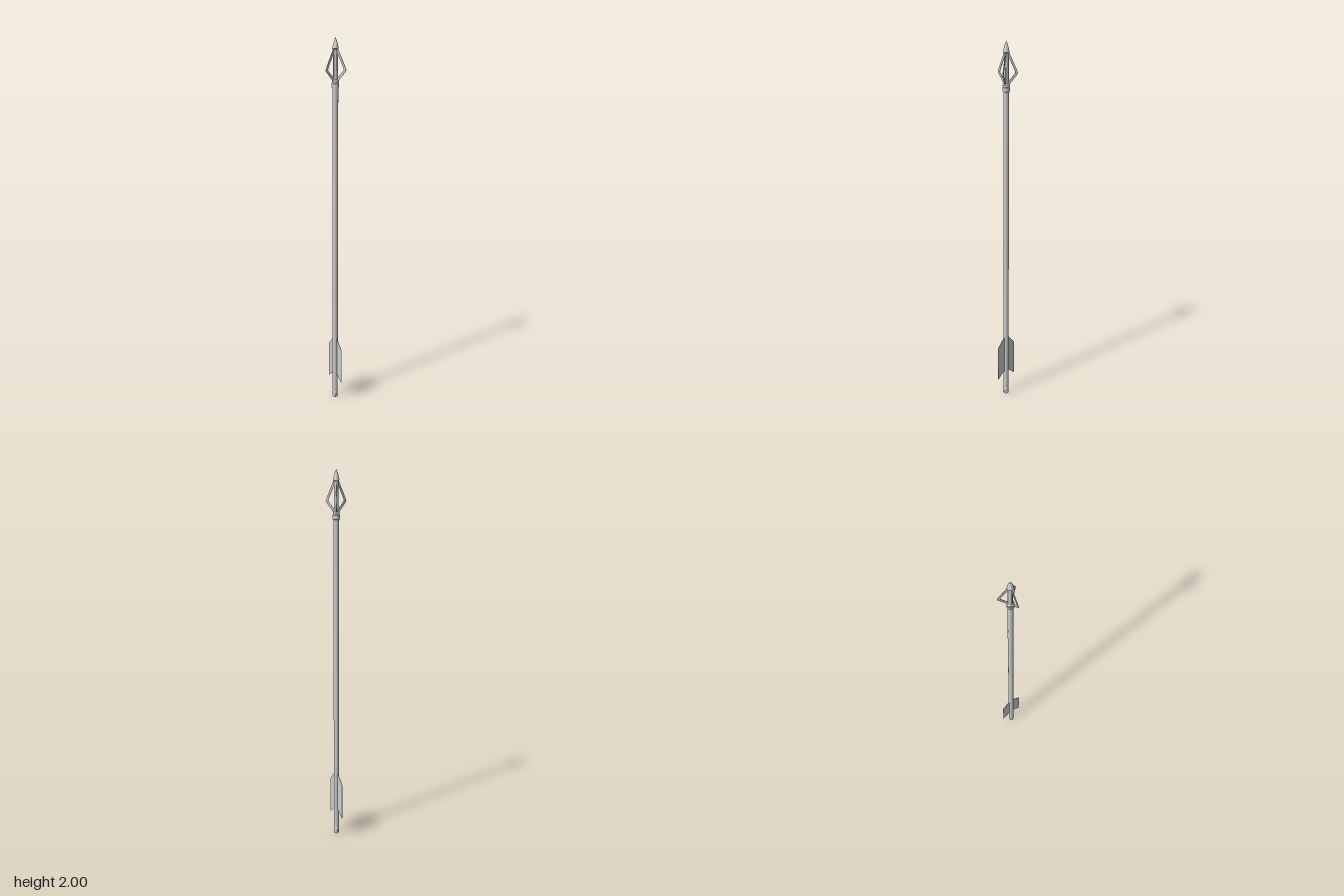
import * as THREE from 'three';

export function createModel() {
  const arrow = new THREE.Group();
  arrow.name = 'arrow';
  arrow.position.z = -0.015;
  const mat = new THREE.MeshStandardMaterial({ color: 0xcccccc });
  const flat = new THREE.MeshStandardMaterial({ color: 0xcccccc, flatShading: true });

  const add = (name, geo, material = mat) => {
    const mesh = new THREE.Mesh(geo, material);
    mesh.name = name;
    arrow.add(mesh);
    return mesh;
  };
  const v = ([x, y]) => new THREE.Vector2(x, y);
  // Turned part: every profile step is doubled so its edges stay sharp
  const turned = (name, pts) => {
    const group = new THREE.Group();
    group.name = name;
    for (let i = 1; i < pts.length; i++) {
      group.add(new THREE.Mesh(new THREE.LatheGeometry([v(pts[i - 1]), v(pts[i])], 24), mat));
    }
    arrow.add(group);
  };
  // Thin plate in the x-y plane, centred on z = 0
  const plate = (outline, hole, depth) => {
    const shape = new THREE.Shape(outline.map(v));
    if (hole) shape.holes.push(new THREE.Path(hole.map(v)));
    return new THREE.ExtrudeGeometry(shape, { depth, bevelEnabled: false }).translate(0, 0, -depth / 2);
  };

  // Shaft, collar, slim core and pointed tip
  turned('shaft', [[0, 0.046], [0.0145, 0.046], [0.0145, 1.755], [0, 1.755]]);
  turned('collar', [[0.0145, 1.75], [0.019, 1.752], [0.019, 1.772], [0.0165, 1.775],
    [0.0175, 1.778], [0.0175, 1.786], [0.011, 1.792]]);
  turned('headCore', [[0.011, 1.785], [0.0105, 1.95]]);
  turned('tip', [[0.0105, 1.94], [0.016, 1.945], [0.0125, 1.963], [0.007, 1.983], [0, 2]]);

  // Three open-framed blades, one facing forwards
  const bladeGeo = plate(
    [[0.008, 1.782], [0.018, 1.788], [0.06, 1.838], [0.054, 1.856], [0.014, 1.943], [0.008, 1.943]],
    [[0.013, 1.803], [0.013, 1.918], [0.043, 1.853], [0.046, 1.84]], 0.003);
  for (let i = 0; i < 3; i++) {
    add('blade', bladeGeo, flat).rotation.y = -Math.PI / 2 + i * Math.PI * 2 / 3;
  }

  // Two vanes, each with a thin base strip against the shaft
  const vaneGeo = plate(
    [[0.01, 0.14], [0.022, 0.143], [0.056, 0.11], [0.06, 0.113], [0.06, 0.307], [0.054, 0.318], [0.016, 0.362], [0.01, 0.364]],
    null, 0.002);
  const stripGeo = plate([[0.01, 0.14], [0.017, 0.142], [0.017, 0.36], [0.01, 0.364]], null, 0.004);
  for (const turn of [0, Math.PI]) {
    add('vane', vaneGeo, flat).rotation.y = turn;
    add('vaneBase', stripGeo, flat).rotation.y = turn;
  }

  // Nock: grooved ring above two prongs with a slot between them
  turned('nock', [[0, 0.018], [0.0145, 0.018], [0.0145, 0.034], [0.0125, 0.038], [0.0125, 0.046]]);
  const a = Math.asin(0.004 / 0.0145);
  const segment = new THREE.Shape().absarc(0, 0, 0.0145, a, Math.PI - a, false);
  const prongGeo = new THREE.ExtrudeGeometry(segment, { depth: 0.019, bevelEnabled: false, curveSegments: 12 })
    .rotateX(-Math.PI / 2);
  for (const turn of [0, Math.PI]) add('nockProng', prongGeo).rotation.y = turn;

  const model = new THREE.Group();
  model.add(arrow);
  return model;
}
